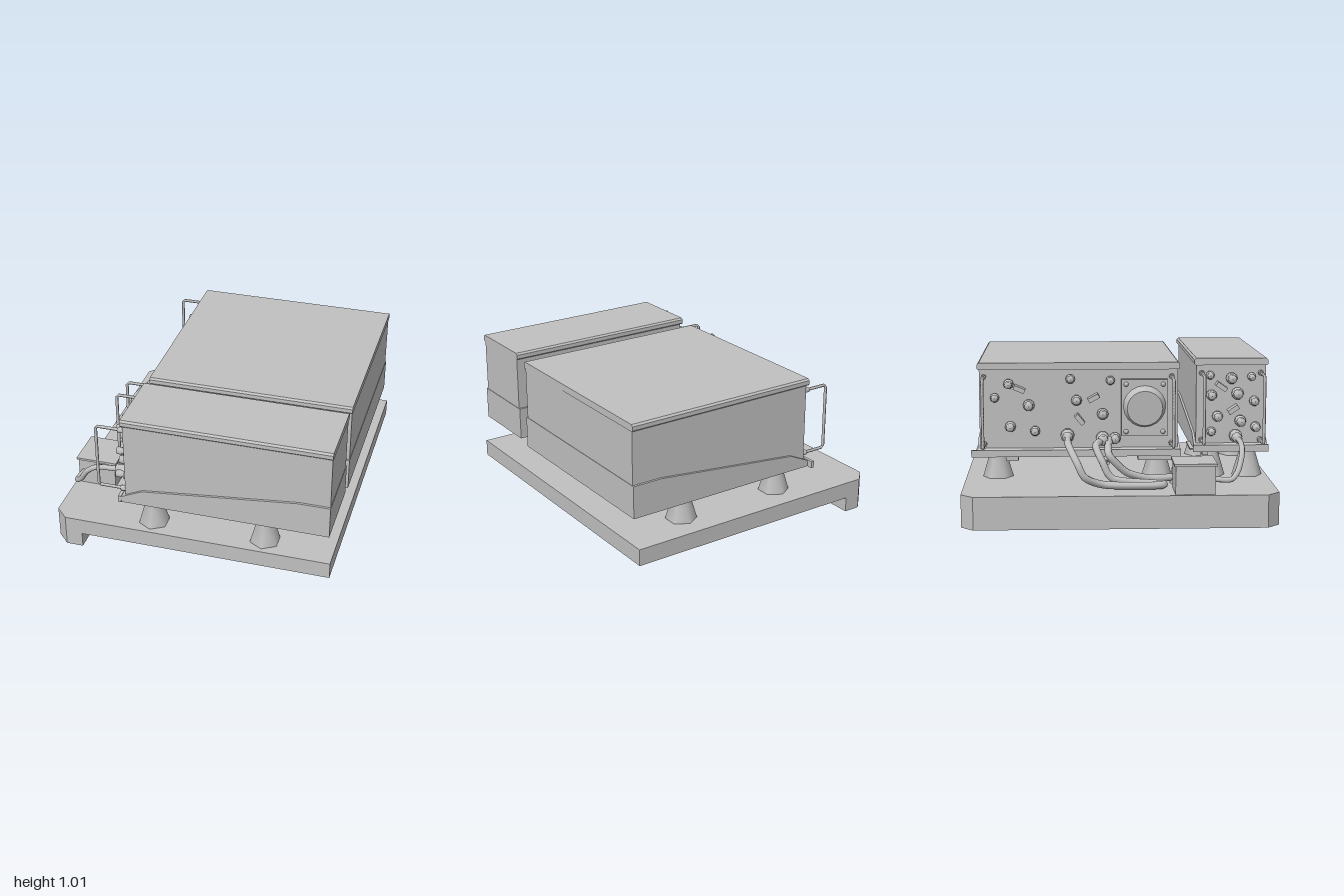
import * as THREE from 'three';

export function createModel() {
  const root = new THREE.Group();
  root.name = 'mountedElectronics';
  const grey = new THREE.MeshStandardMaterial({ color: 0xc0c0c0 });
  grey.name = 'grey';

  const add = (name, geo, parent = root) => {
    const m = new THREE.Mesh(geo, grey);
    m.name = name;
    parent.add(m);
    return m;
  };
  // box given by its limits
  const box = (name, x0, x1, y0, y1, z0, z1, parent) =>
    add(name, new THREE.BoxGeometry(x1 - x0, y1 - y0, z1 - z0)
      .translate((x0 + x1) / 2, (y0 + y1) / 2, (z0 + z1) / 2), parent);
  const extrude = (pts, depth) => new THREE.ExtrudeGeometry(
    new THREE.Shape(pts.map(p => new THREE.Vector2(...p))), { depth, bevelEnabled: false });
  // tube through points, with rounded bends
  const tube = (name, pts, r, sides = 8, tension = 0.3) => {
    const c = new THREE.CatmullRomCurve3(pts.map(p => new THREE.Vector3(...p)), false, 'catmullrom', tension);
    return add(name, new THREE.TubeGeometry(c, pts.length * 6, r, sides));
  };

  // base plate with a deeper front lip and cut corners
  const slab = (name, pts, depth) =>
    add(name, extrude(pts, depth).rotateX(Math.PI / 2).translate(0, 0.21, 0));
  slab('basePlate', [[-0.73, -1], [0.92, -1], [0.92, 1], [-0.73, 1]], 0.11);
  slab('baseLip', [[-0.73, -1], [-0.73, 1], [-0.84, 1], [-0.92, 0.92], [-0.92, -0.92], [-0.84, -1]], 0.21);

  // case: body, lid, sloped tray, front strip
  const makeCase = (name, z0, z1, dy) => {
    const g = new THREE.Group();
    g.name = name;
    root.add(g);
    box('body', -0.425, 0.9, 0.42 + dy, 0.98 + dy, z0, z1, g);
    const h = (z1 - z0) / 2 + 0.013, t = 1.012 + dy, b = 0.966 + dy;
    const lid = extrude([[-h + 0.008, b], [h - 0.008, b], [h, b + 0.008], [h, t - 0.012], [h - 0.012, t],
      [-h + 0.012, t], [-h, t - 0.012], [-h, b + 0.008]], 1.342);
    add('lid', lid.rotateY(Math.PI / 2).translate(-0.438, 0, (z0 + z1) / 2), g);
    const tray = extrude([[-0.45, 0.4], [0.903, 0.4], [0.903, 0.615], [0.7, 0.615], [-0.31, 0.505], [-0.45, 0.44]],
      z1 - z0 + 0.03);
    add('tray', tray.translate(0, dy, z0 - 0.015), g);
    box('trayFrontStrip', -0.47, -0.45, 0.4 + dy, 0.445 + dy, z0 - (dy ? 0.055 : 0.02), z1 + 0.02, g);
  };
  makeCase('largeCase', -0.9, 0.39, -0.025);
  makeCase('smallCase', 0.51, 0.965, 0);

  // flared mounts
  const profile = [[0, 0.2], [0.1, 0.2], [0.1, 0.215], [0.057, 0.36], [0.068, 0.42], [0, 0.42]]
    .map(p => new THREE.Vector2(...p));
  for (const x of [-0.27, 0.47]) for (const z of [0.87, 0.62, 0.265, -0.79])
    add('mount', new THREE.LatheGeometry(profile, 6)).position.set(x, 0, z);

  // straps and rod under the trays
  box('strap', -0.45, 0.5, 0.345, 0.375, 0.13, 0.4);
  box('strap', -0.45, 0.5, 0.345, 0.375, -0.73, -0.65);
  box('strap', -0.45, 0.5, 0.375, 0.4, 0.55, 0.59);
  tube('rod', [[-0.42, 0.325, -0.07], [0.55, 0.325, -0.07]], 0.018);
  box('sideTab', -0.46, -0.17, 0.41, 0.42, 0.47, 0.5);

  // junction box with lid, and a pot beside it
  box('junctionBox', -0.895, -0.64, 0.21, 0.39, 0.34, 0.59);
  box('junctionBoxLid', -0.905, -0.628, 0.39, 0.405, 0.33, 0.6);
  add('pot', new THREE.CylinderGeometry(0.065, 0.078, 0.1, 12)).position.set(-0.53, 0.26, 0.41);

  // carry handles on the panels
  for (const [z, dy] of [[-0.87, -0.02], [0.35, -0.02], [0.545, 0], [0.93, 0]]) {
    tube('handle', [[-0.42, 0.915 + dy, z], [-0.6, 0.915 + dy, z], [-0.615, 0.9 + dy, z],
      [-0.615, 0.49 + dy, z], [-0.6, 0.475 + dy, z], [-0.42, 0.475 + dy, z]], 0.01, 6, 0.1);
    for (const y of [0.915, 0.475]) {
      const foot = add('handleFoot', new THREE.CylinderGeometry(0.018, 0.018, 0.04, 8).rotateZ(Math.PI / 2));
      foot.position.set(-0.445, y + dy, z);
    }
  }

  // stepped connectors: y, z, radius, length
  const connectors = [
    [0.85, -0.71, 0.026, 0.09], [0.76, -0.8, 0.024, 0.06], [0.71, -0.58, 0.03, 0.08], [0.54, -0.54, 0.026, 0.06],
    [0.57, -0.7, 0.028, 0.08], [0.88, -0.31, 0.025, 0.05], [0.74, -0.27, 0.028, 0.06], [0.65, -0.1, 0.03, 0.06],
    [0.87, -0.05, 0.024, 0.05], [0.51, -0.33, 0.036, 0.13], [0.49, -0.1, 0.036, 0.13], [0.49, -0.02, 0.03, 0.08],
    [0.9, 0.6, 0.022, 0.06], [0.88, 0.74, 0.03, 0.08], [0.89, 0.87, 0.022, 0.07], [0.77, 0.61, 0.028, 0.07],
    [0.78, 0.78, 0.032, 0.08], [0.73, 0.89, 0.026, 0.07], [0.63, 0.65, 0.028, 0.08], [0.6, 0.8, 0.03, 0.09],
    [0.53, 0.61, 0.024, 0.06], [0.56, 0.9, 0.026, 0.08], [0.5, 0.77, 0.034, 0.13]];
  for (const [y, z, r, l] of connectors) {
    const pts = [[0, 0], [r * 1.25, 0], [r * 1.25, l * 0.3], [r * 0.8, l * 0.32], [r * 0.8, l * 0.55],
      [r, l * 0.57], [r * 0.9, l], [0, l]].map(p => new THREE.Vector2(...p));
    const m = add('connector', new THREE.LatheGeometry(pts, 10));
    m.rotation.z = Math.PI / 2;
    m.position.set(-0.424, y, z);
  }
  // winged knobs
  for (const [y, z, a] of [[0.82, -0.64, 0.4], [0.62, -0.25, 0.9], [0.76, -0.16, -0.5], [0.83, 0.67, 0.6], [0.68, 0.75, -0.6]]) {
    const knob = add('wingKnob', new THREE.BoxGeometry(0.07, 0.03, 0.075));
    knob.position.set(-0.46, y, z);
    knob.rotation.x = a;
  }

  // fan housing with a round cover
  box('fanPlate', -0.48, -0.42, 0.51, 0.88, 0.02, 0.32);
  const cover = add('fanCover', new THREE.CylinderGeometry(0.115, 0.14, 0.05, 20));
  cover.rotation.z = Math.PI / 2 + 0.1;
  cover.position.set(-0.5, 0.7, 0.17);
  for (const y of [0.54, 0.85]) for (const z of [0.05, 0.29])
    add('fanScrew', new THREE.SphereGeometry(0.016, 8, 6)).position.set(-0.485, y, z);

  // cable loops lying on the base
  tube('cableLoop', [[-0.5, 0.51, -0.33], [-0.68, 0.49, -0.325], [-0.79, 0.39, -0.27], [-0.8, 0.3, -0.22],
    [-0.75, 0.245, -0.09], [-0.755, 0.24, 0.2], [-0.735, 0.24, 0.275], [-0.695, 0.24, 0.275], [-0.675, 0.24, 0.2],
    [-0.685, 0.27, -0.04], [-0.67, 0.38, -0.11], [-0.6, 0.47, -0.15], [-0.5, 0.49, -0.1]], 0.024, 8, 0.4);
  tube('cableDrop', [[-0.48, 0.49, -0.06], [-0.6, 0.46, -0.07], [-0.66, 0.41, -0.06], [-0.63, 0.3, 0.05],
    [-0.58, 0.25, 0.2], [-0.54, 0.25, 0.36]], 0.024, 8, 0.4);
  tube('boxCable', [[-0.5, 0.5, 0.77], [-0.68, 0.49, 0.775], [-0.76, 0.44, 0.77], [-0.82, 0.35, 0.74],
    [-0.87, 0.3, 0.69], [-0.86, 0.3, 0.59]], 0.018, 8, 0.4);

  return root;
}
